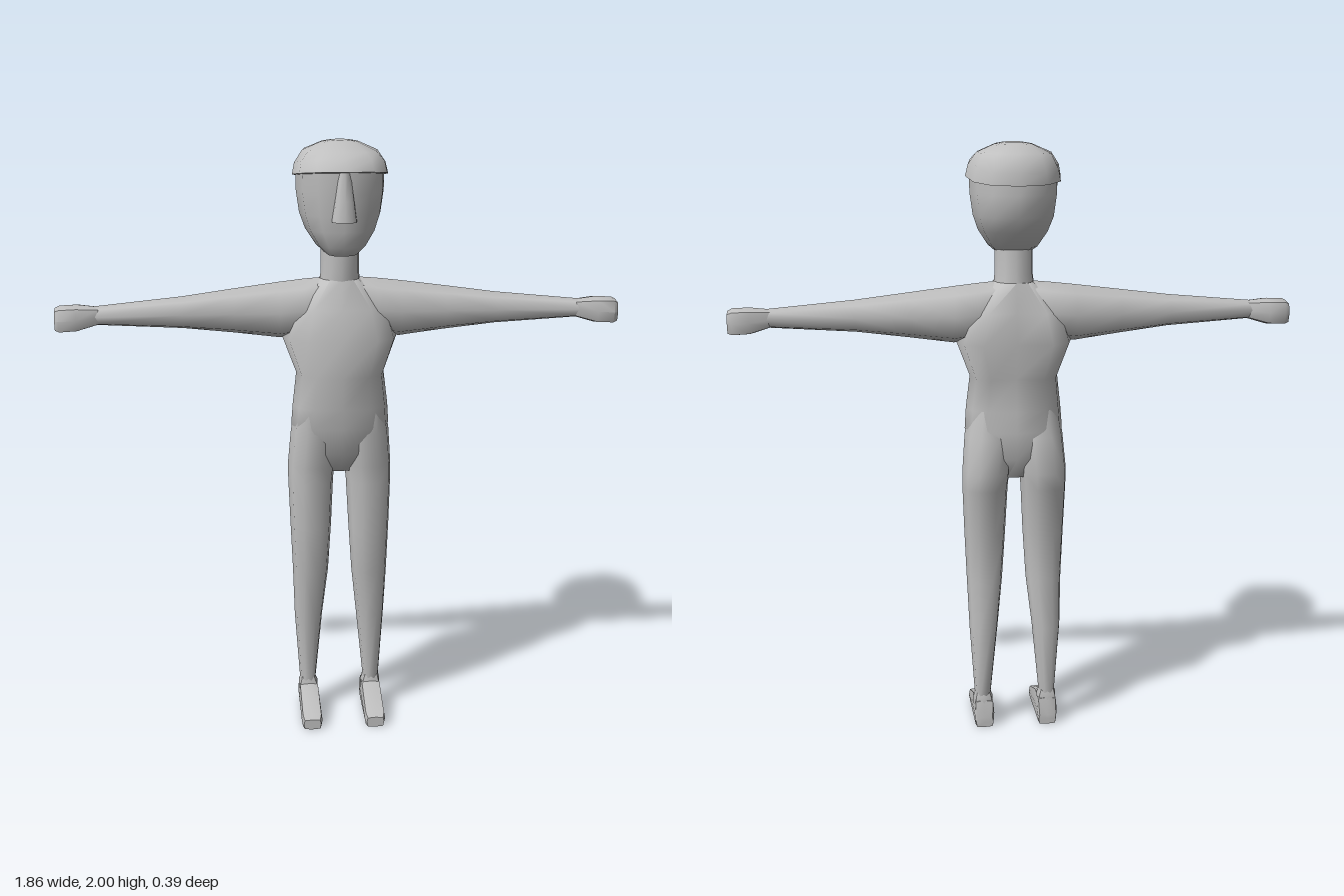
import * as THREE from 'three';
import { toCreasedNormals } from 'three/addons/utils/BufferGeometryUtils.js';

// Where a ring point (t along the axis, a and b across it) lands in space
const AXES = {
  y: (t, a, b) => [a, t, b],
  x: (t, a, b) => [t, b, a],
  z: (t, a, b) => [b, a, t],
};

// Closed skin over rings [t, aMin, aMax, bMin, bMax]; a low "square" gives boxier rings
function loft(axis, rings, { n = 12, square = 0.85, side = 1, crease = 1.1, rule } = {}) {
  const pos = [], idx = [];
  const add = (t, a, b) => {
    const p = AXES[axis](t, a, b);
    if (rule) rule(p);
    pos.push(p[0] * side, p[1], p[2]);
  };
  const tri = (a, b, c) => (side > 0 ? idx.push(a, b, c) : idx.push(a, c, b));
  const power = (v) => (Math.abs(v) < 1e-6 ? 0 : Math.sign(v) * Math.abs(v) ** square);
  for (const [t, a0, a1, b0, b1] of rings) {
    for (let j = 0; j < n; j++) {
      const w = (j / n) * Math.PI * 2;
      add(t, (a0 + a1) / 2 + ((a1 - a0) / 2) * power(Math.cos(w)),
        (b0 + b1) / 2 + ((b1 - b0) / 2) * power(Math.sin(w)));
    }
  }
  const last = rings.length - 1;
  for (const [t, a0, a1, b0, b1] of [rings[0], rings[last]]) add(t, (a0 + a1) / 2, (b0 + b1) / 2);
  const c0 = rings.length * n;
  for (let j = 0; j < n; j++) {
    const k = (j + 1) % n;
    for (let i = 0; i < last; i++) {
      const a = i * n + j, b = i * n + k;
      tri(a, a + n, b);
      tri(b, a + n, b + n);
    }
    tri(c0, j, k);
    tri(c0 + 1, last * n + k, last * n + j);
  }
  const g = new THREE.BufferGeometry();
  g.setAttribute('position', new THREE.Float32BufferAttribute(pos, 3));
  g.setIndex(idx);
  return toCreasedNormals(g, crease);
}

export function createModel() {
  const model = new THREE.Group();
  model.name = 'figure';
  const grey = new THREE.MeshStandardMaterial({ color: 0xc0c0c0 });
  grey.name = 'plain grey';
  const part = (name, geometry) => {
    const mesh = new THREE.Mesh(geometry, grey);
    mesh.name = name;
    model.add(mesh);
  };

  // Torso, with a shallow valley down the spine
  part('torso', loft('y', [
    [0.9, -0.05, 0.05, -0.08, 0.03],
    [0.97, -0.12, 0.12, -0.115, 0.075],
    [1.06, -0.165, 0.165, -0.115, 0.095],
    [1.13, -0.16, 0.16, -0.112, 0.105],
    [1.24, -0.147, 0.147, -0.135, 0.116],
    [1.36, -0.192, 0.192, -0.165, 0.12],
    [1.46, -0.16, 0.16, -0.145, 0.09],
    [1.555, -0.065, 0.065, -0.095, 0.06],
  ], {
    square: 0.75,
    rule: (p) => {
      if (Math.abs(p[0]) < 0.01 && p[2] < -0.05 && p[1] > 1.2 && p[1] < 1.5) p[2] += 0.035;
    },
  }));

  // Neck
  part('neck', loft('y', [
    [1.52, -0.07, 0.07, -0.1, 0.06],
    [1.58, -0.063, 0.063, -0.088, 0.062],
    [1.69, -0.063, 0.063, -0.085, 0.065],
  ]));

  // Head and nose
  part('head', loft('y', [
    [1.642, -0.05, 0.05, -0.04, 0.118],
    [1.67, -0.082, 0.082, -0.105, 0.138],
    [1.72, -0.115, 0.115, -0.14, 0.146],
    [1.77, -0.133, 0.133, -0.172, 0.152],
    [1.84, -0.143, 0.143, -0.178, 0.158],
    [1.93, -0.145, 0.145, -0.17, 0.16],
  ], { square: 0.8 }));
  part('nose', loft('y', [
    [1.755, -0.04, 0.04, 0.1, 0.185],
    [1.82, -0.032, 0.032, 0.1, 0.176],
    [1.91, -0.02, 0.02, 0.1, 0.163],
  ], { square: 0.7, crease: 0.9 }));

  // Flat cap with a slightly raised front brim
  part('cap', loft('y', [
    [1.89, -0.14, 0.14, -0.165, 0.16],
    [1.892, -0.156, 0.156, -0.192, 0.195],
    [1.93, -0.148, 0.148, -0.188, 0.172],
    [1.968, -0.122, 0.122, -0.168, 0.135],
    [1.995, -0.06, 0.06, -0.085, 0.065],
    [2.0, -0.03, 0.03, -0.05, 0.04],
  ], {
    square: 0.8,
    rule: (p) => { if (p[1] < 1.95) p[1] += 0.11 * p[2]; },
  }));

  for (const [label, side] of [['left', 1], ['right', -1]]) {
    // Outstretched arm
    part(label + 'Arm', loft('x', [
      [0.05, -0.1, 0.055, 1.4, 1.556],
      [0.12, -0.118, 0.065, 1.365, 1.55],
      [0.2, -0.11, 0.057, 1.355, 1.541],
      [0.35, -0.095, 0.052, 1.375, 1.522],
      [0.52, -0.074, 0.05, 1.395, 1.5],
      [0.81, -0.042, 0.038, 1.413, 1.473],
    ], { n: 8, side }));
    // Closed hand
    part(label + 'Hand', loft('x', [
      [0.79, -0.038, 0.036, 1.414, 1.472],
      [0.86, -0.063, 0.055, 1.393, 1.48],
      [0.915, -0.06, 0.055, 1.39, 1.478],
      [0.93, -0.05, 0.042, 1.395, 1.47],
    ], { n: 8, square: 0.6, side, crease: 0.8 }));
    // Leg
    part(label + 'Leg', loft('y', [
      [0.11, 0.085, 0.14, -0.078, -0.008],
      [0.36, 0.06, 0.157, -0.1, 0.012],
      [0.53, 0.041, 0.163, -0.077, 0.037],
      [0.7, 0.03, 0.17, -0.095, 0.056],
      [0.86, 0.022, 0.176, -0.118, 0.062],
      [0.92, 0.016, 0.176, -0.136, 0.068],
      [1.04, 0.005, 0.166, -0.113, 0.085],
      [1.16, 0.02, 0.145, -0.09, 0.085],
    ], { n: 10, square: 0.8, side }));
    // Ankle and shoe
    part(label + 'Ankle', loft('y', [
      [0.07, 0.078, 0.145, -0.082, 0],
      [0.1, 0.078, 0.145, -0.082, -0.005],
      [0.13, 0.09, 0.136, -0.072, -0.012],
    ], { n: 8, square: 0.6, side, crease: 0.8 }));
    part(label + 'Shoe', loft('z', [
      [-0.092, 0, 0.035, 0.08, 0.14],
      [-0.08, 0, 0.095, 0.076, 0.145],
      [-0.005, 0, 0.1, 0.075, 0.146],
      [0.13, 0, 0.048, 0.074, 0.146],
      [0.15, 0, 0.036, 0.08, 0.14],
    ], { n: 8, square: 0.35, side, crease: 0.7 }));
  }
  return model;
}
